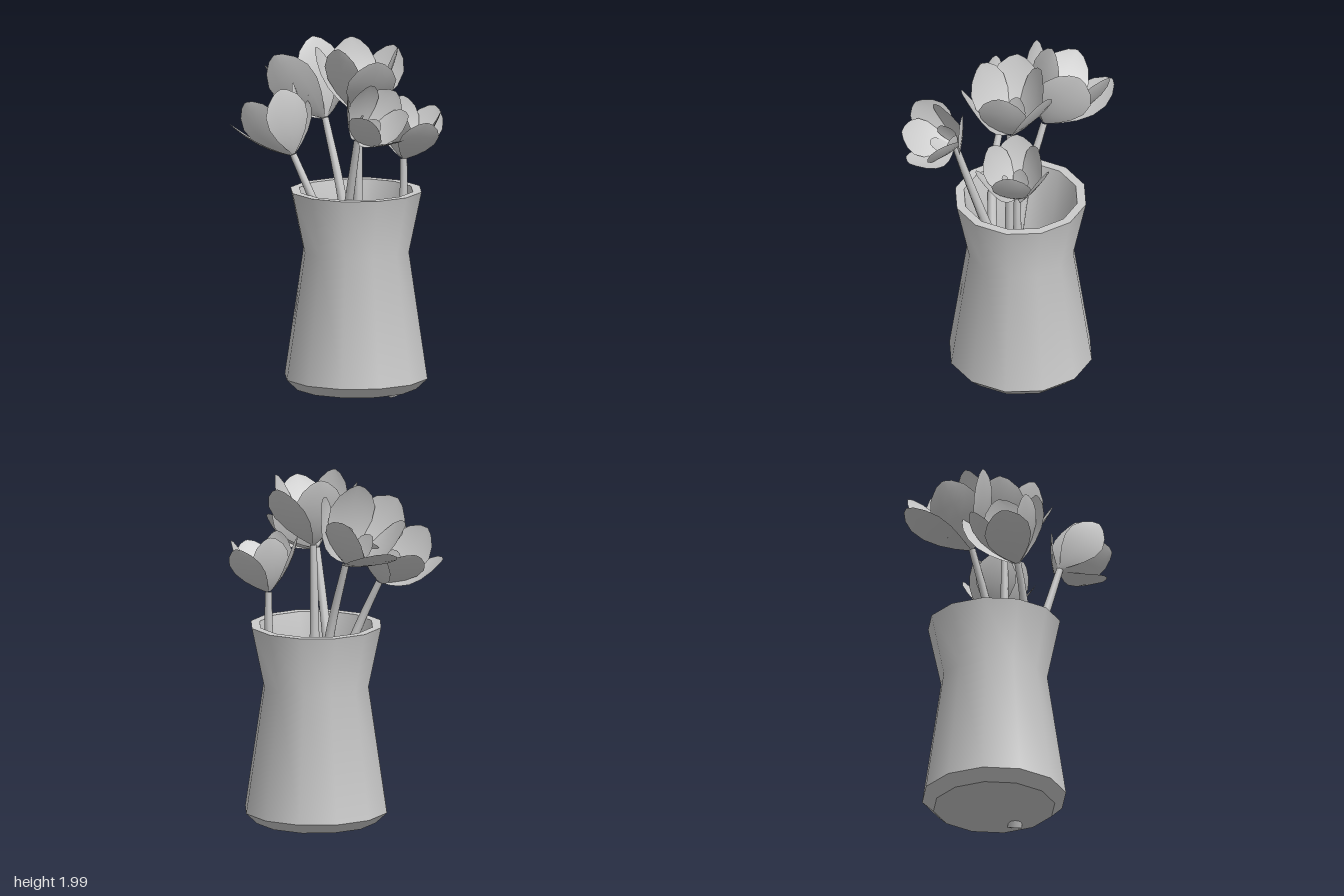
import * as THREE from 'three';
import { toCreasedNormals } from 'three/addons/utils/BufferGeometryUtils.js';

const grey = new THREE.MeshStandardMaterial({ color: 0xcccccc });
const thin = new THREE.MeshStandardMaterial({ color: 0xcccccc, side: THREE.DoubleSide });

function add(parent, name, geometry, material = grey) {
  const mesh = new THREE.Mesh(geometry, material);
  mesh.name = name;
  parent.add(mesh);
  return mesh;
}

// Twelve-sided vase: outer wall, thick rim, inner wall and floor
function vaseGeometry() {
  const profile = [
    [0, 0.04], [0.34, 0.04], [0.403, 0.1], [0.298, 0.81], [0.37, 1.15],
    [0.32, 1.15], [0.25, 0.81], [0.34, 0.12], [0, 0.12],
  ].map(([r, y]) => new THREE.Vector2(r, y));
  return toCreasedNormals(new THREE.LatheGeometry(profile, 12), 0.7);
}

// Rounded, nearly flat petal leaning towards +x; lean runs from base to tip, measured from the axis
function petalGeometry(length, width, baseLean, tipLean) {
  const rows = 8, cols = 4;
  const g = new THREE.PlaneGeometry(1, 1, cols, rows);
  const p = g.attributes.position;
  let r = 0.012, y = 0, last = 0;
  for (let i = 0; i <= rows; i++) {
    const u = (1 - Math.cos((Math.PI * i) / rows)) / 2;
    const a = THREE.MathUtils.lerp(baseLean, tipLean, u);
    r += Math.sin(a) * (u - last) * length;
    y += Math.cos(a) * (u - last) * length;
    last = u;
    const half = (width / 2) * Math.pow(Math.max(0, Math.sin(Math.PI * Math.pow(u, 1.4))), 0.65) + 0.006;
    for (let j = 0; j <= cols; j++) {
      const v = (2 * j) / cols - 1;
      const cup = 0.08 * half * v * v;
      p.setXYZ(i * (cols + 1) + j, r - Math.cos(a) * cup, y + Math.sin(a) * cup, half * v);
    }
  }
  g.computeVertexNormals();
  return g;
}

// Ring of three petals around the flower's axis
function petalRing(flower, name, start, geometry) {
  for (let k = 0; k < 3; k++) {
    const petal = add(flower, name, geometry, thin);
    petal.rotation.y = -THREE.MathUtils.degToRad(start + k * 120);
  }
}

// Curved stem, thicker at its foot
function addStem(parent, points) {
  const curve = new THREE.CatmullRomCurve3(points.map((q) => new THREE.Vector3(...q)));
  const rows = 14, sides = 8;
  const g = new THREE.TubeGeometry(curve, rows, 1, sides);
  const p = g.attributes.position;
  const v = new THREE.Vector3();
  for (let i = 0; i <= rows; i++) {
    const centre = curve.getPointAt(i / rows);
    const radius = THREE.MathUtils.lerp(0.04, 0.019, i / rows);
    for (let j = 0; j <= sides; j++) {
      const n = i * (sides + 1) + j;
      v.fromBufferAttribute(p, n).sub(centre).multiplyScalar(radius).add(centre);
      p.setXYZ(n, v.x, v.y, v.z);
    }
  }
  add(parent, 'stem', g);
  const foot = add(parent, 'stemFoot', new THREE.CircleGeometry(0.04, sides));
  foot.position.copy(curve.getPointAt(0));
  foot.quaternion.setFromUnitVectors(new THREE.Vector3(0, 0, 1), curve.getTangentAt(0).negate());
}

export function createModel() {
  const model = new THREE.Group();
  model.name = 'vaseOfFlowers';

  const vase = add(model, 'vase', vaseGeometry());
  vase.position.set(0.033, 0, -0.067);

  // foot, point at the rim and head of each stem; axis, petal length and first petal angle of each flower
  const flowers = [
    { name: 'centreFlower', foot: [0.08, 0.14, -0.04], rim: [0.08, 1.15, -0.03], head: [0.085, 1.59, -0.035],
      axis: [0.06, 1, 0], length: 0.44, start: 30 },
    { name: 'backRightFlower', foot: [0.2, 0.14, -0.2], rim: [0.24, 1.15, -0.23], head: [0.24, 1.33, -0.23],
      axis: [0.2, 1, -0.04], length: 0.35, start: 25 },
    { name: 'frontRightFlower', foot: [-0.12, 0.14, 0], rim: [0.18, 1.15, 0.155], head: [0.28, 1.5, 0.2],
      axis: [0.72, 0.69, 0.08], length: 0.34, start: 5 },
    { name: 'frontLeftFlower', foot: [0.28, 0.018, -0.12], rim: [-0.05, 1.15, 0.215], head: [-0.15, 1.37, 0.25],
      axis: [-0.55, 0.83, 0.05], length: 0.4, start: 145 },
    { name: 'backLeftFlower', foot: [0.15, 0.14, -0.04], rim: [-0.05, 1.15, -0.03], head: [-0.18, 1.53, -0.05],
      axis: [-0.57, 0.8, -0.12], length: 0.46, start: 200 },
  ];

  for (const { name, foot, rim, head, axis, length, start } of flowers) {
    const plant = new THREE.Group();
    plant.name = name;
    model.add(plant);
    addStem(plant, [foot, rim, head]);

    const bloom = new THREE.Group();
    bloom.name = 'bloom';
    bloom.position.set(...head);
    bloom.quaternion.setFromUnitVectors(new THREE.Vector3(0, 1, 0), new THREE.Vector3(...axis).normalize());
    plant.add(bloom);
    petalRing(bloom, 'outerPetal', start, petalGeometry(length, length * 0.62, 0.98, 0.36));
    petalRing(bloom, 'middlePetal', start + 60, petalGeometry(length, length * 0.6, 0.8, 0.18));
    petalRing(bloom, 'innerPetal', start + 30, petalGeometry(length * 0.48, length * 0.28, 0.5, 0.25));
  }
  return model;
}
